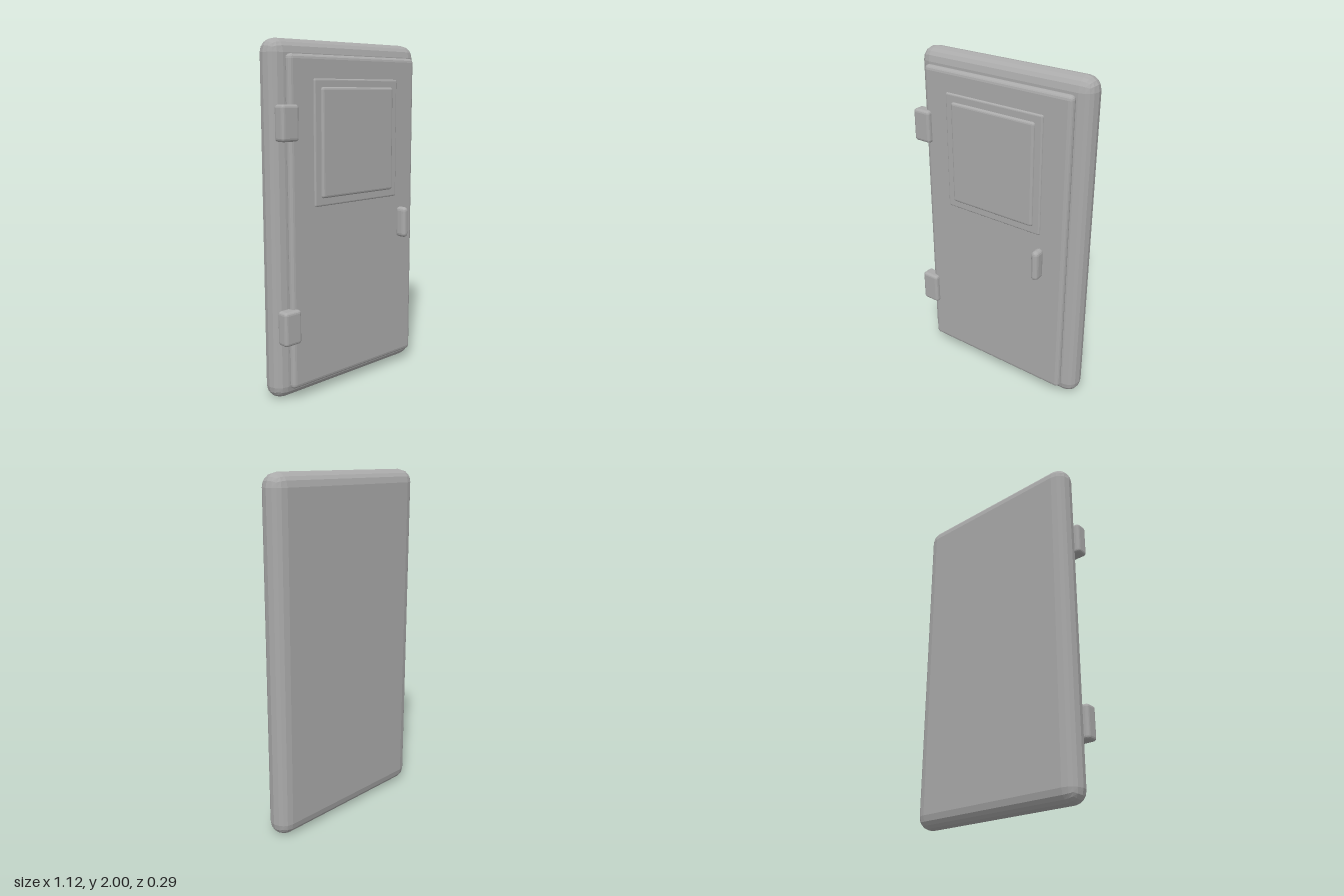
import * as THREE from 'three';
import { RoundedBoxGeometry } from 'three/addons/geometries/RoundedBoxGeometry.js';

export function createModel() {
  const group = new THREE.Group();
  group.name = 'door';
  const grey = new THREE.MeshStandardMaterial({ color: 0xaaaaaa });
  grey.name = 'grey';

  // Faceted rounded box given by its limits on each axis
  function slab(name, [x0, x1], [y0, y1], [z0, z1], radius) {
    const geometry = new RoundedBoxGeometry(x1 - x0, y1 - y0, z1 - z0, 2, radius);
    geometry.computeVertexNormals(); // unindexed, so this gives flat facets
    const mesh = new THREE.Mesh(geometry, grey);
    mesh.name = name;
    mesh.position.set((x0 + x1) / 2, (y0 + y1) / 2, (z0 + z1) / 2);
    group.add(mesh);
  }

  // Surround with fully rounded edges, and the door leaf in front of it
  slab('doorFrame', [-0.562, 0.562], [0, 2], [-0.146, 0.007], 0.0765);
  slab('doorPanel', [-0.485, 0.485], [0.07, 1.917], [0.006, 0.056], 0.025);

  // Window trim and raised pane
  slab('windowFrame', [-0.323, 0.323], [1.093, 1.79], [0.046, 0.066], 0.01);
  slab('windowPane', [-0.278, 0.278], [1.138, 1.745], [0.05, 0.08], 0.015);

  // Pull handle, standing just clear of the panel
  slab('handle', [0.315, 0.362], [0.842, 1.028], [0.068, 0.144], 0.0235);

  // Hinges down the right edge
  for (const [name, y] of [['lowerHinge', 0.441], ['upperHinge', 1.558]]) {
    slab(name, [-0.556, -0.441], [y - 0.097, y + 0.097], [0.007, 0.084], 0.018);
  }
  return group;
}
